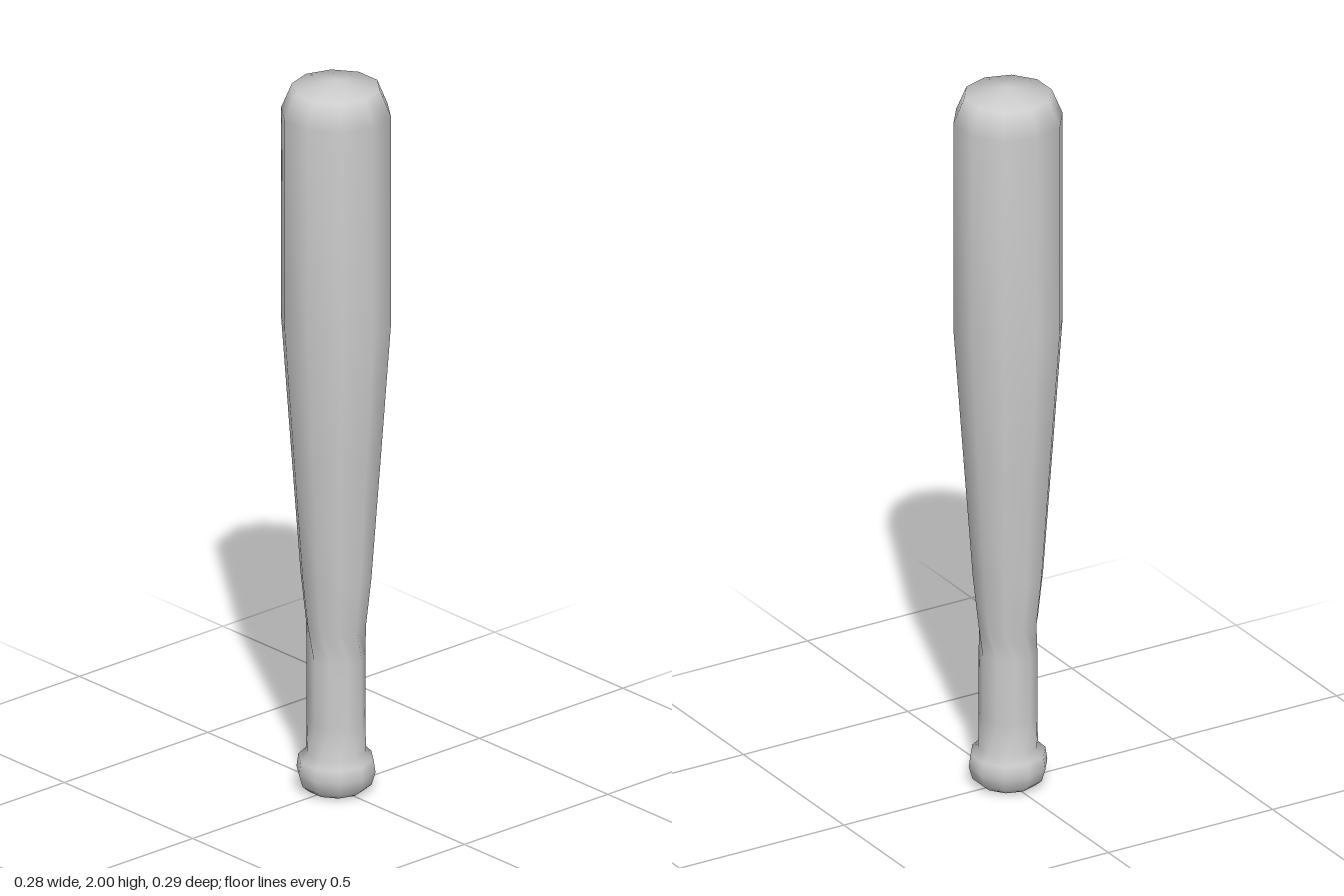
import * as THREE from 'three';
import { mergeVertices } from 'three/addons/utils/BufferGeometryUtils.js';

const SIDES = 10;

// Rings from knob to crown: [radius, height, twist as a share of half a side]
const RINGS = [
  [0, 0, 0], [0.075, 0.003, 0], [0.095, 0.02, 0], [0.105, 0.055, 0], [0.1, 0.09, 0], [0.08, 0.11, 0], // knob
  [0.0765, 0.2, 1], [0.0765, 0.38, 1], [0.08, 0.47, 0], // grip
  [0.094, 0.6, 0], [0.121, 0.97, 0], [0.146, 1.32, 0], [0.146, 1.91, 0], // taper and barrel
  [0.117, 1.98, 0], [0, 2, 0], // crown
];

// Turned ten-sided solid whose grip rings are rotated by half a side
function turnedBody() {
  const profile = RINGS.map(([r, y]) => new THREE.Vector2(r, y));
  const lathe = new THREE.LatheGeometry(profile, SIDES);
  const pos = lathe.attributes.position;
  const v = new THREE.Vector3();
  const up = new THREE.Vector3(0, 1, 0);
  for (let i = 0; i < pos.count; i++) {
    const twist = RINGS[i % RINGS.length][2] * Math.PI / SIDES;
    v.fromBufferAttribute(pos, i).applyAxisAngle(up, twist);
    pos.setXYZ(i, v.x, v.y, v.z);
  }
  // Weld the seam so the shading is smooth all round
  lathe.deleteAttribute('uv');
  lathe.deleteAttribute('normal');
  const body = mergeVertices(lathe, 1e-4);
  body.computeVertexNormals();
  return body;
}

export function createModel() {
  const group = new THREE.Group();
  group.name = 'bat';
  const grey = new THREE.MeshStandardMaterial({ color: 0xcccccc });
  grey.name = 'light grey';
  const bat = new THREE.Mesh(turnedBody(), grey);
  bat.name = 'batBody';
  group.add(bat);
  return group;
}
